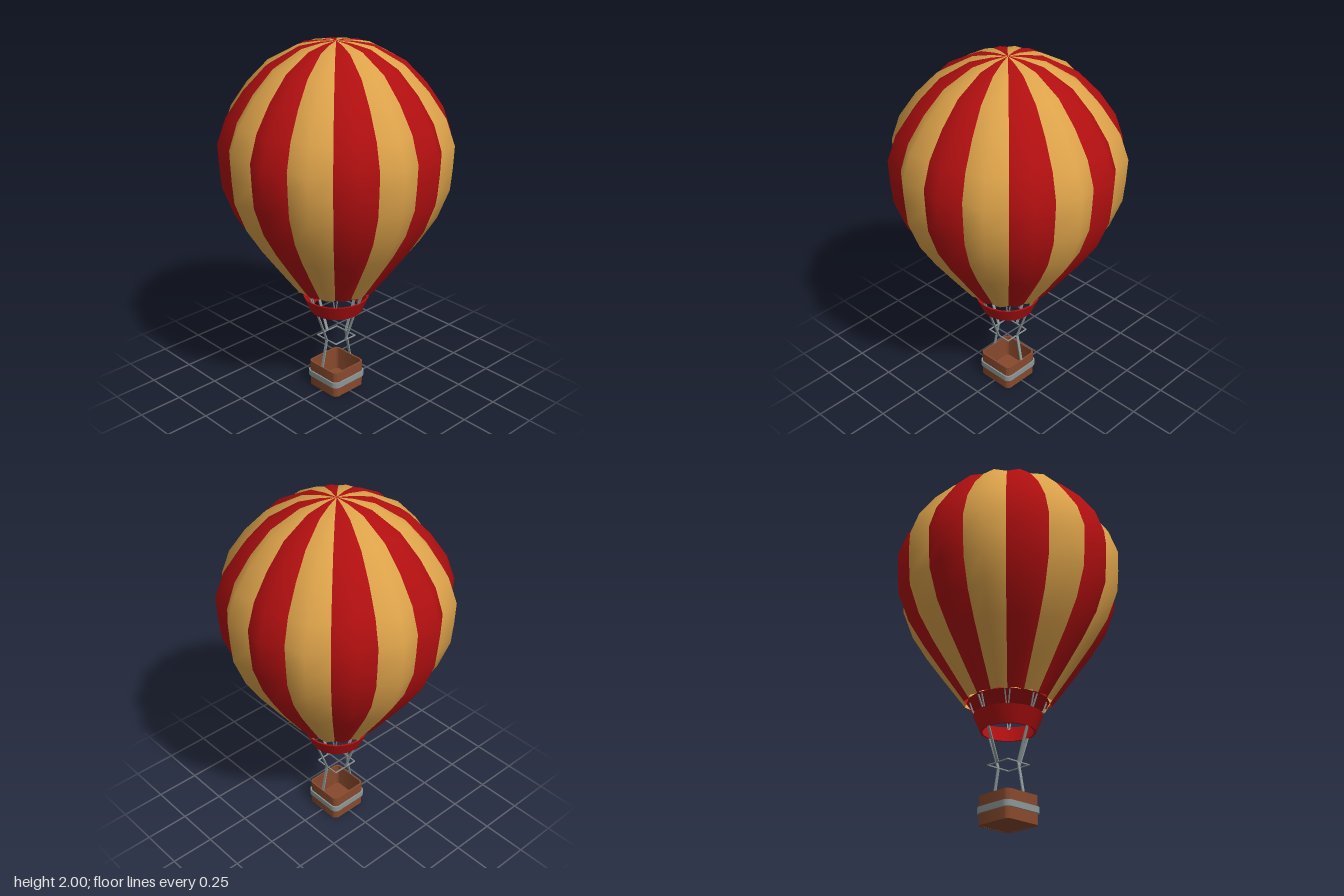
import * as THREE from 'three';
import { toCreasedNormals } from 'three/addons/utils/BufferGeometryUtils.js';

const GORES = 16;
const STEP = (Math.PI * 2) / GORES;

// Envelope ridge profile [radius, height], bottom to top
const PROFILE = [
  [0.235, 0.65], [0.35, 0.805], [0.455, 0.95], [0.542, 1.09], [0.602, 1.25], [0.612, 1.37], [0.617, 1.49],
  [0.568, 1.63], [0.475, 1.765], [0.36, 1.885], [0.2, 1.972], [0.09, 1.993], [0, 2],
];

function material(name, color, side = THREE.FrontSide) {
  const m = new THREE.MeshStandardMaterial({ color, side });
  m.name = name;
  return m;
}

// One puffed panel between two seams: seam, ridge, seam
function goreGeometry(start) {
  const pos = [], index = [];
  PROFILE.forEach(([r, y], i) => {
    for (let j = 0; j < 3; j++) {
      const a = start + (j * STEP) / 2;
      const rr = j === 1 ? r : r * 0.932;
      pos.push(rr * Math.cos(a), y, rr * Math.sin(a));
      if (i < PROFILE.length - 1 && j < 2) {
        const p = i * 3 + j;
        index.push(p, p + 3, p + 1, p + 1, p + 3, p + 4);
      }
    }
  });
  const g = new THREE.BufferGeometry();
  g.setAttribute('position', new THREE.Float32BufferAttribute(pos, 3));
  g.setIndex(index);
  g.computeVertexNormals();
  return g;
}

// Rounded square outline of half size h
function roundedSquare(h, r, Type = THREE.Shape) {
  const s = new Type();
  [[1, 1, 0], [-1, 1, 1], [-1, -1, 2], [1, -1, 3]].forEach(([x, y, q]) => {
    s.absarc(x * (h - r), y * (h - r), r, (q * Math.PI) / 2, ((q + 1) * Math.PI) / 2, false);
  });
  s.closePath();
  return s;
}

// Upright slab or ring with a rounded square plan
function squareRing(outer, inner, y0, y1, r) {
  const shape = roundedSquare(outer, r);
  if (inner) shape.holes.push(roundedSquare(inner, r - (outer - inner) * 0.8, THREE.Path));
  const g = new THREE.ExtrudeGeometry(shape, { depth: y1 - y0, bevelEnabled: false, curveSegments: 5 });
  g.rotateX(-Math.PI / 2).translate(0, y0, 0);
  return toCreasedNormals(g, 0.6);
}

// Flat strap between two points, its width lying along "across"
function strapGeometry(a, b, across, width, thick) {
  const dir = b.clone().sub(a);
  const g = new THREE.BoxGeometry(width, dir.length(), thick);
  dir.normalize();
  const normal = across.clone().cross(dir).normalize();
  const side = dir.clone().cross(normal);
  const m = new THREE.Matrix4().makeBasis(side, dir, normal);
  m.setPosition(a.clone().add(b).multiplyScalar(0.5));
  return g.applyMatrix4(m);
}

export function createModel() {
  const red = material('red fabric', 0xb00f10, THREE.DoubleSide);
  const gold = material('gold fabric', 0xdca24a, THREE.DoubleSide);
  const brown = material('brown wicker', 0x87492d);
  const grey = material('grey rope', 0x8b9696);

  const model = new THREE.Group();
  model.name = 'hotAirBalloon';
  const add = (parent, name, geometry, mat) => {
    const mesh = new THREE.Mesh(geometry, mat);
    mesh.name = name;
    parent.add(mesh);
    return mesh;
  };
  const group = (name) => {
    const g = new THREE.Group();
    g.name = name;
    model.add(g);
    return g;
  };

  // Striped envelope
  const envelope = group('envelope');
  for (let i = 0; i < GORES; i++) add(envelope, 'gore', goreGeometry(i * STEP), i % 2 ? red : gold);
  const base = new THREE.CircleGeometry(0.218, GORES);
  base.rotateX(Math.PI / 2).translate(0, 0.653, 0);
  add(envelope, 'envelopeBase', base, red);

  // Flared skirt ring
  const skirt = [[0.135, 0.492], [0.146, 0.492], [0.184, 0.583], [0.173, 0.583], [0.135, 0.492]];
  const skirtGeo = new THREE.LatheGeometry(skirt.map(([x, y]) => new THREE.Vector2(x, y)), 24);
  add(model, 'skirt', toCreasedNormals(skirtGeo, 0.6), red);

  // Paired cords between skirt and envelope
  const cords = group('upperCords');
  for (let i = 0; i < 8; i++) {
    const a = (i * Math.PI) / 4;
    const out = new THREE.Vector3(Math.cos(a), 0, Math.sin(a));
    const across = new THREE.Vector3(-Math.sin(a), 0, Math.cos(a));
    for (const s of [-1, 1]) {
      const low = out.clone().multiplyScalar(0.168).addScaledVector(across, s * 0.004).setY(0.565);
      const high = out.clone().multiplyScalar(0.205).addScaledVector(across, s * 0.014).setY(0.665);
      add(cords, 'cord', strapGeometry(low, high, across, 0.007, 0.006), grey);
    }
  }

  // Straps to the square frame, and on to the basket at front and back
  const rigging = group('rigging');
  for (let i = 0; i < 4; i++) {
    const a = (i * Math.PI) / 2;
    const out = new THREE.Vector3(Math.cos(a), 0, Math.sin(a));
    const across = new THREE.Vector3(-Math.sin(a), 0, Math.cos(a));
    const at = (r, y, s = 0) => out.clone().multiplyScalar(r).addScaledVector(across, s).setY(y);
    add(rigging, 'upperStrap', strapGeometry(at(0.142, 0.5), at(0.074, 0.316), across, 0.016, 0.006), grey);
    add(rigging, 'frameBar', strapGeometry(at(0.074, 0.316, -0.076), at(0.074, 0.316, 0.076), out, 0.006, 0.006), grey);
    if (i % 2) add(rigging, 'lowerStrap', strapGeometry(at(0.074, 0.316), at(0.11, 0.14), across, 0.016, 0.006), grey);
  }

  // Open basket with a band around it
  const basket = group('basket');
  add(basket, 'basketWall', squareRing(0.113, 0.103, 0, 0.152, 0.03), brown);
  add(basket, 'basketFloor', squareRing(0.106, 0, 0.001, 0.015, 0.025), brown);
  add(basket, 'basketBand', squareRing(0.121, 0.112, 0.06, 0.093, 0.036), grey);

  return model;
}
